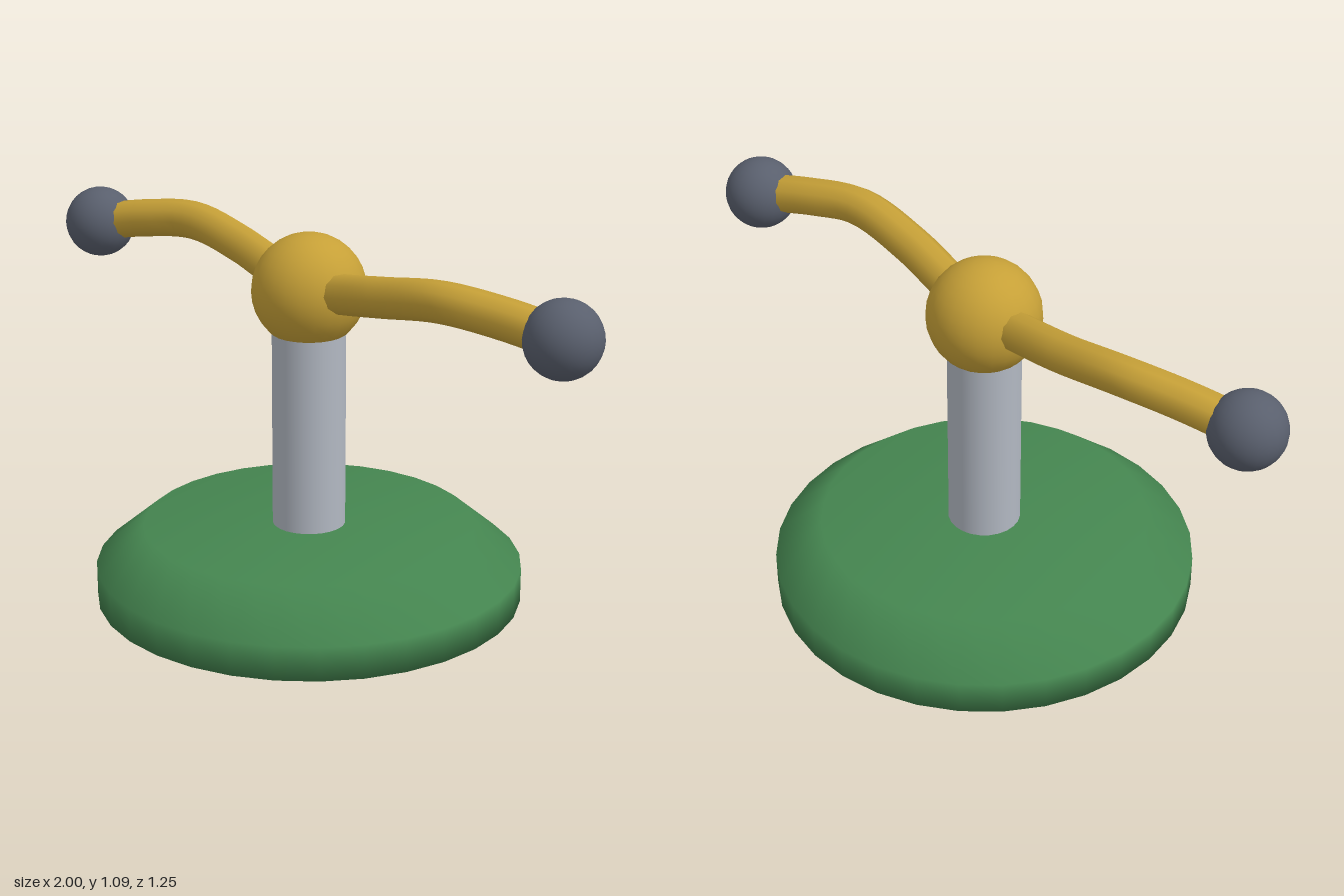
import * as THREE from 'three';

const flat = (name, color) => {
  const m = new THREE.MeshStandardMaterial({ color });
  m.name = name;
  return m;
};

export function createModel() {
  const green = flat('green', 0x458650);
  const silver = flat('silver', 0xb2b8c2);
  const gold = flat('gold', 0xc6a037);
  const slate = flat('slate', 0x595f6d);

  const model = new THREE.Group();
  const add = (parent, name, geometry, material, x = 0, y = 0, z = 0) => {
    const mesh = new THREE.Mesh(geometry, material);
    mesh.name = name;
    mesh.position.set(x, y, z);
    parent.add(mesh);
    return mesh;
  };

  // Bevelled round base, softly shaded across its edges
  const profile = [[0, 0], [0.625, 0], [0.625, 0.1], [0.485, 0.217], [0, 0.217]];
  add(model, 'base', new THREE.LatheGeometry(profile.map(p => new THREE.Vector2(...p)), 32), green);

  // Post and hub
  add(model, 'post', new THREE.CylinderGeometry(0.107, 0.107, 0.7, 24), silver, 0, 0.54, 0);
  add(model, 'hub', new THREE.SphereGeometry(0.165, 24, 16), gold, 0, 0.92, 0);

  // Two swept arms, the second turned half way round the post
  const path = new THREE.CatmullRomCurve3([
    [0, 0.92, 0], [0.16, 0.943, 0.004], [0.35, 0.978, 0.01],
    [0.57, 1.012, -0.012], [0.73, 0.997, -0.075], [0.892, 0.965, -0.146],
  ].map(p => new THREE.Vector3(...p)));
  const armGeometry = new THREE.TubeGeometry(path, 24, 0.057, 10);
  const knobGeometry = new THREE.SphereGeometry(0.107, 24, 16);
  ['left', 'right'].forEach((side, i) => {
    const arm = new THREE.Group();
    arm.name = side + 'Handle';
    arm.rotation.y = i * Math.PI;
    add(arm, side + 'Arm', armGeometry, gold);
    add(arm, side + 'Knob', knobGeometry, slate, 0.892, 0.965, -0.146);
    model.add(arm);
  });

  return model;
}
